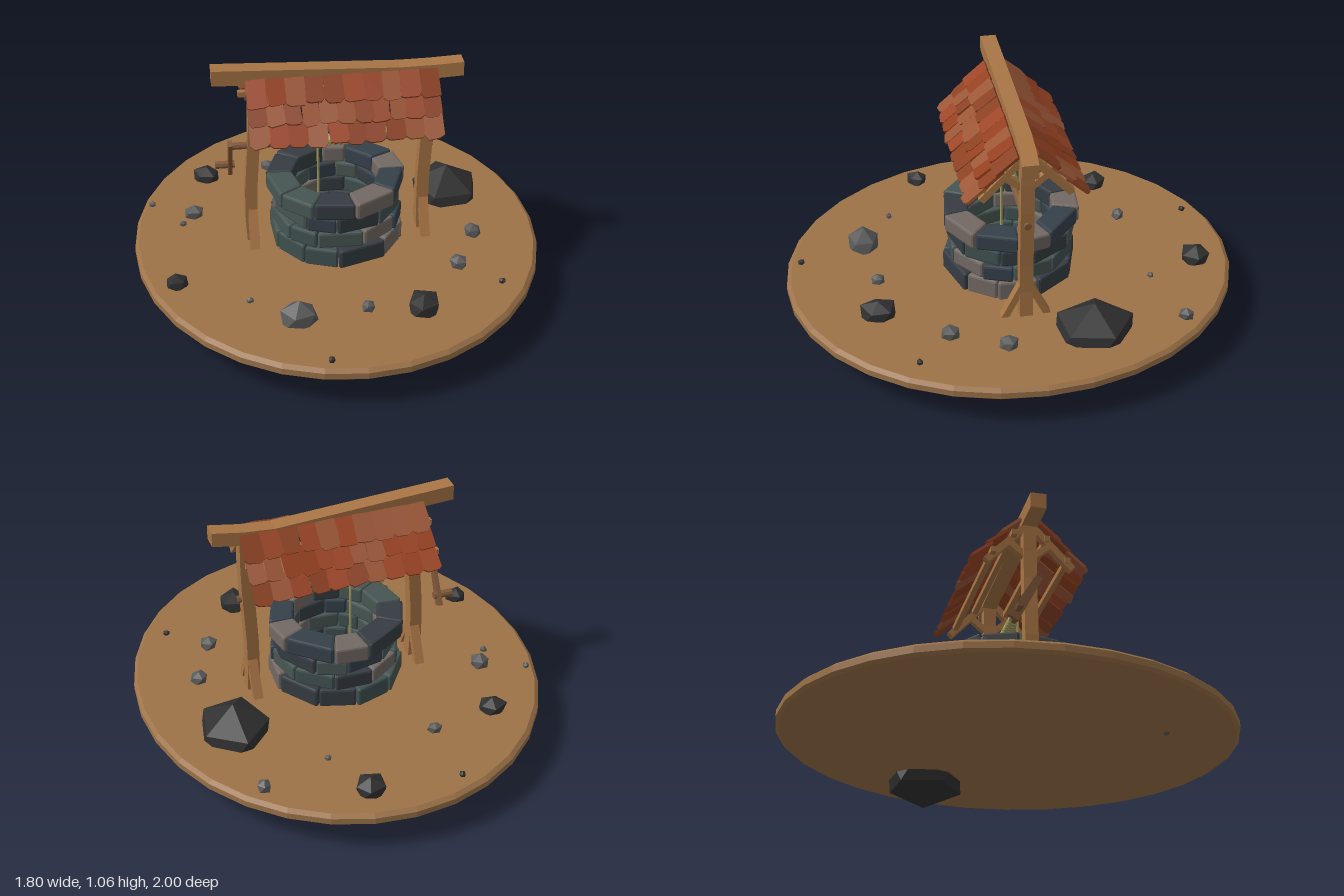
import * as THREE from 'three';
import { RoundedBoxGeometry } from 'three/addons/geometries/RoundedBoxGeometry.js';

const material = (color) => new THREE.MeshStandardMaterial({ color, flatShading: true });
const wood = material(0xa87545), darkWood = material(0x80583a), soil = material(0x9c7248);
const rope = material(0xa09a5c), darkRock = material(0x303030), paleRock = material(0x5a5a5a);
const stoneMats = [0x35404a, 0x475652, 0x3f4f4f, 0x726863, 0x353c42].map(material);
const tileMats = [0x9c4526, 0x94401f, 0x9a5636, 0x8a4022].map(material);

let seed = 7;
const rand = (a = 0, b = 1) => {
  seed = (seed * 16807) % 2147483647;
  return a + (b - a) * (seed / 2147483647);
};

function add(parent, name, geometry, mat, x = 0, y = 0, z = 0) {
  const mesh = new THREE.Mesh(geometry, mat);
  mesh.name = name;
  mesh.position.set(x, y, z);
  parent.add(mesh);
  return mesh;
}

// Move every vertex of a geometry by a rule
function reshape(geometry, rule) {
  const p = geometry.attributes.position, v = new THREE.Vector3();
  for (let i = 0; i < p.count; i++) {
    rule(v.fromBufferAttribute(p, i));
    p.setXYZ(i, v.x, v.y, v.z);
  }
  geometry.computeVertexNormals();
  return geometry;
}

// Square timber between two points
function timber(parent, name, a, b, w, d, mat = wood) {
  const from = new THREE.Vector3(...a), to = new THREE.Vector3(...b);
  const dir = to.clone().sub(from);
  const mesh = add(parent, name, new THREE.BoxGeometry(w, dir.length(), d), mat);
  mesh.position.copy(from).add(to).multiplyScalar(0.5);
  mesh.quaternion.setFromUnitVectors(new THREE.Vector3(0, 1, 0), dir.normalize());
  return mesh;
}

// One wedge-shaped stone of a ring, bent around the well axis
function wellStone(a0, a1, r0, r1, y0, y1) {
  const g = new RoundedBoxGeometry(0.16, y1 - y0, r1 - r0, 1, 0.01);
  return reshape(g, (v) => {
    const a = (a0 + a1) / 2 + (v.x / 0.16) * (a1 - a0);
    const r = (r0 + r1) / 2 + v.z;
    v.set(Math.sin(a) * r, v.y + (y0 + y1) / 2, Math.cos(a) * r);
  });
}

function buildWell() {
  const well = new THREE.Group();
  well.name = 'well';
  const rows = [[0.2, 0.295, 0.295], [0.295, 0.372, 0.285], [0.372, 0.45, 0.28], [0.45, 0.53, 0.302]];
  rows.forEach(([y0, y1, r], row) => {
    const n = 10, step = (Math.PI * 2) / n;
    const cuts = Array.from({ length: n }, (_, i) => (i + row * 0.45 + rand(-0.14, 0.14)) * step);
    cuts.push(cuts[0] + Math.PI * 2);
    for (let i = 0; i < n; i++) {
      const g = wellStone(cuts[i] + 0.006, cuts[i + 1] - 0.006, 0.19, r + rand(-0.008, 0.008), y0, y1 - rand(0, 0.005));
      add(well, 'wellStone', g, stoneMats[Math.floor(rand(0, 5))]);
    }
  });
  return well;
}

// Roof tile hanging down from its top edge, with an uneven lower edge
function tileGeometry(w, len) {
  const s = new THREE.Shape();
  s.moveTo(-w * 0.46, 0);
  s.lineTo(-w * 0.5, -len + rand(0.008, 0.025));
  s.lineTo(-w * rand(0.25, 0.35), -len + rand(0, 0.006));
  s.lineTo(w * rand(0.2, 0.35), -len + rand(0, 0.01));
  s.lineTo(w * 0.5, -len + rand(0.01, 0.028));
  s.lineTo(w * 0.46, 0);
  return new THREE.ExtrudeGeometry(s, { depth: 0.013, bevelEnabled: false });
}

function buildRoof() {
  const roof = new THREE.Group();
  roof.name = 'roof';
  for (const side of [1, -1]) {
    const half = new THREE.Group();
    half.name = side > 0 ? 'frontRoof' : 'backRoof';
    half.scale.x = 1;
    half.rotation.y = side > 0 ? 0 : Math.PI;
    const slope = new THREE.Group();
    slope.name = 'tiles';
    slope.position.set(0.022 * side, 1.015, 0.03);
    slope.rotation.x = -0.76;
    half.add(slope);
    for (let row = 2; row >= 0; row--) {
      const n = row % 2 ? 11 : 10, w = 0.82 / n;
      for (let i = 0; i < n; i++) {
        const t = add(slope, 'roofTile', tileGeometry(w * rand(0.98, 1.12), rand(0.12, 0.135)),
          tileMats[Math.floor(rand(0, 4))], -0.41 + (i + 0.5) * w, -row * 0.09, 0.004 + rand(0, 0.004));
        t.rotation.set(-0.12 + rand(-0.04, 0.04), rand(-0.08, 0.08), rand(-0.06, 0.06));
      }
    }
    // Timbers under the tiles
    for (const [y, z] of [[0.945, 0.075], [0.85, 0.165]])
      timber(half, 'purlin', [-0.385, y, z], [0.41, y, z], 0.025, 0.025);
    for (const x of [-0.36, 0.395]) {
      timber(half, 'rafter', [x * side, 1.0, 0.015], [x * side, 0.815, 0.19], 0.035, 0.03);
      timber(half, 'kneeBrace', [x * side, 0.85, 0.01], [x * side, 0.925, 0.1], 0.03, 0.028);
    }
    roof.add(half);
  }
  // Sagging ridge beam
  const ridge = reshape(new THREE.BoxGeometry(1.075, 0.07, 0.07, 8, 1, 1), (v) => {
    const x = v.x + 0.008, t = Math.max(0, x - 0.33) / 0.21;
    v.set(x, v.y * (1 - 0.07 * (x + 0.53)) + 1.04 - (x + 0.53) * 0.05 + t * 0.032,
      v.z - (x + 0.53) * 0.012 + t * 0.025);
  });
  add(roof, 'ridgeBeam', ridge, wood);
  return roof;
}

function buildFrame() {
  const frame = new THREE.Group();
  frame.name = 'frame';
  for (const [x, lean, bow] of [[-0.372, 0.018, -0.008], [0.392, 0.01, -0.006]]) {
    const post = reshape(new THREE.BoxGeometry(0.054, 0.82, 0.058, 1, 6, 1), (v) => {
      const t = v.y / 0.82 + 0.5;
      v.x += x + lean * t * t + bow * Math.sin(t * Math.PI * 2);
      v.y += 0.605;
    });
    add(frame, 'post', post, wood);
    for (const s of [1, -1])
      timber(frame, 'footBrace', [x, 0.2, 0.095 * s], [x, 0.37, 0.012 * s], 0.042, 0.03);
  }
  return frame;
}

function buildWindlass() {
  const windlass = new THREE.Group();
  windlass.name = 'windlass';
  const y = 0.685;
  add(windlass, 'axle', new THREE.CylinderGeometry(0.016, 0.016, 0.91, 8), darkWood, -0.015, y).rotation.z = Math.PI / 2;
  for (let i = 0; i < 7; i++)
    add(windlass, 'ropeCoil', new THREE.TorusGeometry(0.019, 0.0085, 6, 12), rope, -0.078 + i * 0.025, y)
      .rotation.set(0, Math.PI / 2 + 0.1, 0);
  add(windlass, 'hangingRope', new THREE.CylinderGeometry(0.006, 0.006, 0.42, 6), rope, -0.08, 0.475, 0.02);
  // Tapered crank arm and its handle
  const arm = timber(windlass, 'crankArm', [-0.46, 0.71, 0.018], [-0.46, 0.505, -0.095], 0.018, 0.042, darkWood);
  reshape(arm.geometry, (v) => { v.z *= v.y > 0 ? 1.15 : 0.75; });
  add(windlass, 'crankHandle', new THREE.CylinderGeometry(0.017, 0.017, 0.085, 8), darkWood, -0.482, 0.548, -0.075)
    .rotation.z = Math.PI / 2;
  return windlass;
}

function rockGeometry(rx, ry, rz, turn, rough = 0.14) {
  const g = new THREE.IcosahedronGeometry(1, 0).rotateZ(-0.5536).rotateY(turn);
  return reshape(g, (v) => {
    const k = 1 + rough * Math.sin(v.x * 5 + v.y * 3 + v.z * 7 + turn * 4);
    v.set(v.x * rx * k, v.y * ry * k, v.z * rz * k);
  });
}

function buildRocks() {
  const rocks = new THREE.Group();
  rocks.name = 'rocks';
  add(rocks, 'boulder', rockGeometry(0.175, 0.172, 0.19, 0.4, 0.05), darkRock, 0.555, 0.178, -0.265);
  // x, z, radius, dark
  const spots = [
    [0.14, -0.83, 0.072, 1], [-0.25, -0.875, 0.016, 1], [0.545, -0.675, 0.034, 0], [0.24, -0.595, 0.016, 0],
    [-0.255, -0.565, 0.034, 0], [-0.545, -0.51, 0.066, 1], [-0.81, -0.295, 0.016, 0], [-0.625, -0.2, 0.044, 0],
    [-0.68, -0.12, 0.016, 0], [-0.73, 0.32, 0.054, 1], [0.605, 0.11, 0.045, 0], [0.495, 0.345, 0.044, 0],
    [0.655, 0.495, 0.016, 1], [-0.43, 0.495, 0.016, 0], [-0.235, 0.63, 0.087, 0], [0.06, 0.6, 0.032, 0],
    [0.29, 0.625, 0.08, 1], [-0.14, 0.925, 0.016, 1],
  ];
  spots.forEach(([x, z, r, dark], i) =>
    add(rocks, 'rock', rockGeometry(r, r * 0.85, r * 0.95, i * 1.3), dark ? darkRock : paleRock,
      x, dark ? 0.217 : 0.222, z));
  return rocks;
}

export function createModel() {
  const model = new THREE.Group();
  model.name = 'waterWell';
  // Oval ground plate with bevelled rim
  const profile = [[0, 0.152], [0.985, 0.152], [1, 0.165], [1, 0.193], [0.982, 0.208], [0, 0.208]];
  const ground = new THREE.LatheGeometry(profile.map(([r, y]) => new THREE.Vector2(r, y)), 32);
  ground.scale(0.9, 1, 1);
  add(model, 'ground', ground, soil);
  model.add(buildWell(), buildFrame(), buildRoof(), buildWindlass(), buildRocks());
  return model;
}
